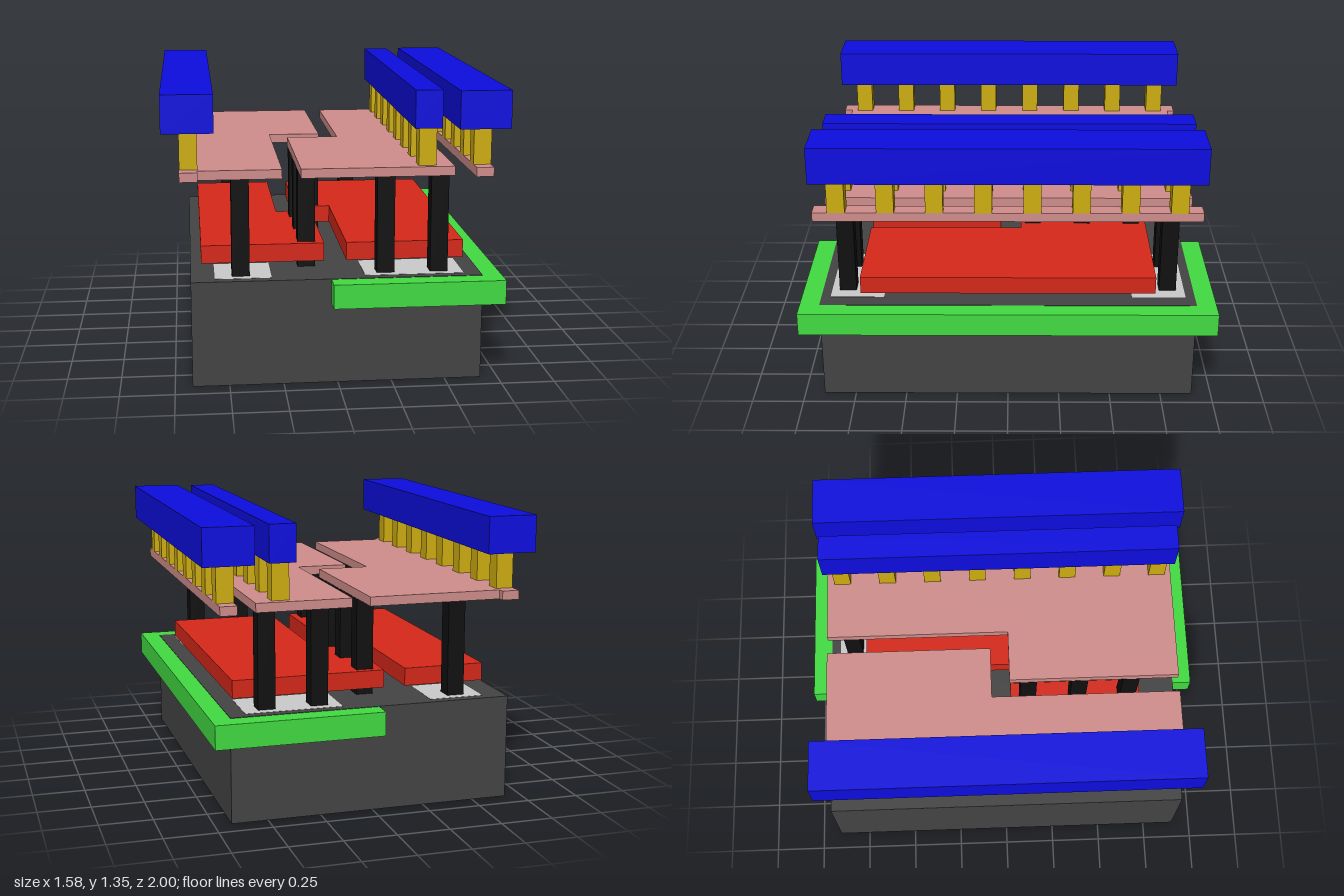
import * as THREE from 'three';

const mat = (color) => new THREE.MeshStandardMaterial({ color, flatShading: true });

export function createModel() {
  const model = new THREE.Group();
  const dark = mat(0x444444), green = mat(0x42dc42), red = mat(0xd62819), black = mat(0x101010);
  const pink = mat(0xd08e8c), yellow = mat(0xcfae10), blue = mat(0x0d0de0), grey = mat(0xcccccc);

  // Box given by its limits along x, y and z
  const box = (name, material, [x0, x1], [y0, y1], [z0, z1]) => {
    const mesh = new THREE.Mesh(new THREE.BoxGeometry(x1 - x0, y1 - y0, z1 - z0), material);
    mesh.position.set((x0 + x1) / 2, (y0 + y1) / 2, (z0 + z1) / 2);
    mesh.name = name;
    model.add(mesh);
  };

  // Flat slab from an outline of [x, z] corners, raised between y0 and y1
  const slab = (name, material, outline, y0, y1) => {
    const shape = new THREE.Shape(outline.map(([x, z]) => new THREE.Vector2(x, -z)));
    const geometry = new THREE.ExtrudeGeometry(shape, { depth: y1 - y0, bevelEnabled: false });
    geometry.rotateX(-Math.PI / 2).translate(0, y0, 0);
    const mesh = new THREE.Mesh(geometry, material);
    mesh.name = name;
    model.add(mesh);
  };

  // Substrate block and the well set into its top
  box('substrate', dark, [-0.67, 0.67], [0, 0.495], [-0.905, 0.905]);
  box('well', green, [-0.03, 0.76], [0.38, 0.493], [-1, 1]);

  // Pads flush with the substrate top, below the end pillars
  for (const s of [-1, 1]) {
    const z = s > 0 ? [0.6, 0.86] : [-0.86, -0.6];
    box('padRight', grey, [-0.56, -0.3], [0.47, 0.496], z);
    box('padLeft', grey, [0.13, 0.59], [0.47, 0.496], z);
  }

  // Two interlocking red gate slabs
  slab('gateRight', red,
    [[-0.62, 0.71], [-0.045, 0.71], [-0.045, 0.04], [-0.225, 0.04], [-0.225, -0.71], [-0.62, -0.71]], 0.53, 0.615);
  slab('gateLeft', red,
    [[0.06, 0.71], [0.615, 0.71], [0.615, -0.71], [-0.12, -0.71], [-0.12, -0.065], [0.06, -0.065]], 0.53, 0.615);

  // Black pillars: a row at each end, and three through each gate
  const pillar = (x, z) =>
    box('pillar', black, [x - 0.041, x + 0.041], [0.495, 0.957], [z - 0.041, z + 0.041]);
  for (const x of [-0.44, 0.23, 0.48]) for (const z of [-0.778, 0.782]) pillar(x, z);
  for (const z of [0.125, 0.38, 0.635]) {
    pillar(-0.125, z);
    pillar(-0.035, -z - 0.005 + 0.005);
  }

  // Interlocking upper plates and the rails beside them
  slab('plateRight', pink,
    [[-0.63, 0.865], [-0.25, 0.865], [-0.25, -0.06], [0.005, -0.06], [0.005, -0.87], [-0.63, -0.87]], 0.957, 1);
  slab('plateLeft', pink,
    [[-0.165, 0.865], [0.54, 0.865], [0.54, -0.87], [0.09, -0.87], [0.09, 0.03], [-0.165, 0.03]], 0.957, 1);
  box('railRight', pink, [-0.712, -0.63], [0.957, 1], [-0.905, 0.905]);
  box('railLeft', pink, [0.63, 0.71], [0.957, 1], [-0.905, 0.905]);

  // Three rows of eight yellow posts
  for (const x of [-0.67, 0.417, 0.67])
    for (let i = 0; i < 8; i++) {
      const z = 0.793 - i * 0.2265;
      box('post', yellow, [x - 0.041, x + 0.041], [1, 1.175], [z - 0.041, z + 0.041]);
    }

  // Blue top bars
  box('topBarRight', blue, [-0.79, -0.555], [1.175, 1.35], [-0.905, 0.905]);
  box('topBarInner', blue, [0.353, 0.478], [1.175, 1.35], [-0.875, 0.865]);
  box('topBarLeft', blue, [0.55, 0.785], [1.175, 1.35], [-0.905, 0.905]);

  return model;
}
